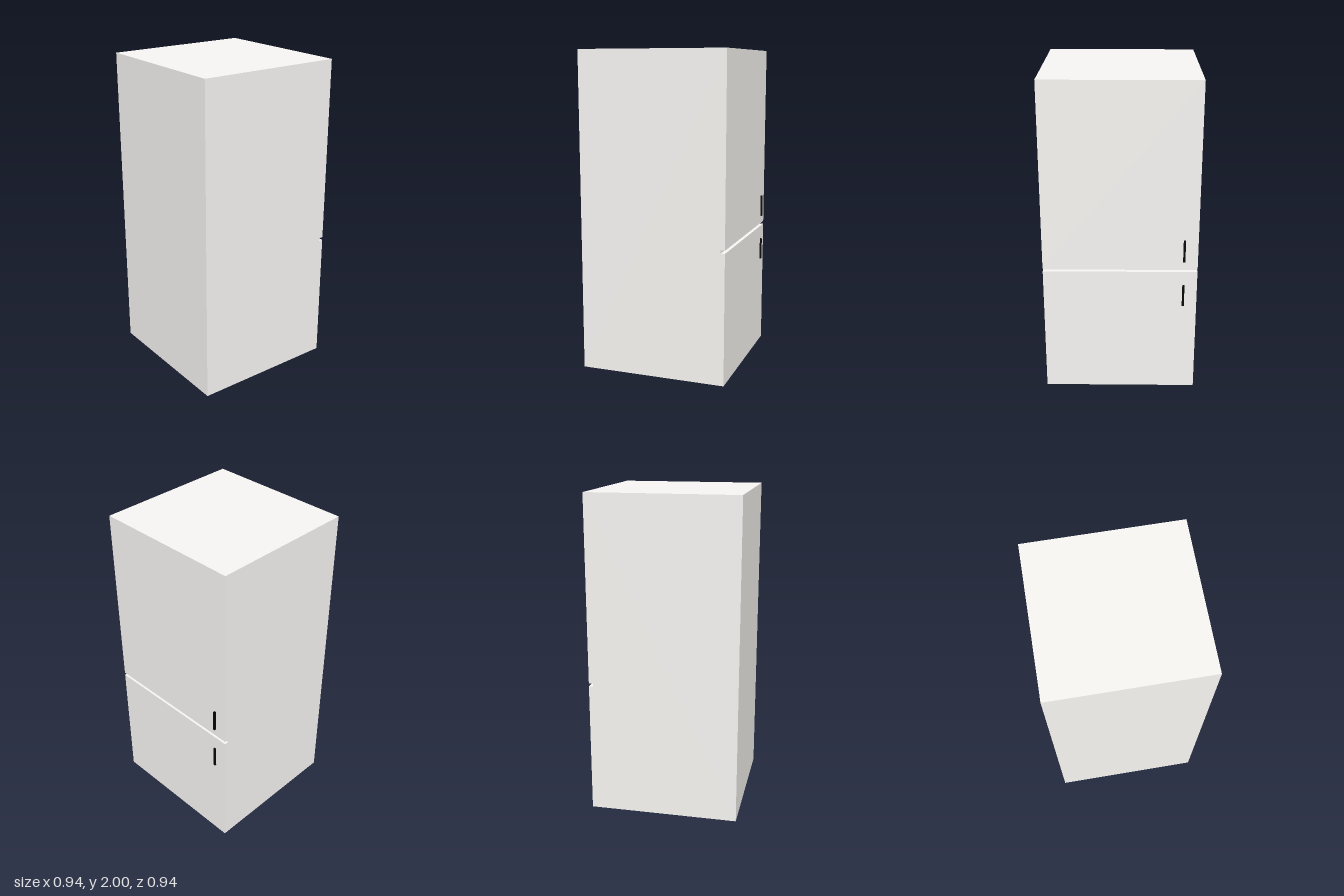
import * as THREE from 'three';

const offWhite = new THREE.MeshStandardMaterial({ color: 0xf7f5f2, flatShading: true });
const black = new THREE.MeshStandardMaterial({ color: 0x050505, flatShading: true });

const LEFT = 0.459;      // door face
const BACK = -0.47;      // wall opposite the doors
const DEPTH = 0.945;     // size along z

// Side profile with the gap between the two doors, extruded along z
function makeCabinet() {
  const profile = new THREE.Shape([
    [BACK, 0], [LEFT, 0], [LEFT, 0.82], [0.432, 0.82],
    [0.432, 0.839], [LEFT, 0.839], [LEFT, 2], [BACK, 2],
  ].map(([x, y]) => new THREE.Vector2(x, y)));
  const geometry = new THREE.ExtrudeGeometry(profile, { depth: DEPTH, bevelEnabled: false });
  geometry.translate(0, 0, -DEPTH / 2);
  const mesh = new THREE.Mesh(geometry, offWhite);
  mesh.name = 'cabinetWithDoors';
  return mesh;
}

// Slim upright bar on a door face
function makeHandle(name, y) {
  const mesh = new THREE.Mesh(new THREE.BoxGeometry(0.011, 0.14, 0.013), black);
  mesh.position.set(LEFT + 0.0055, y, -0.389);
  mesh.name = name;
  return mesh;
}

export function createModel() {
  const group = new THREE.Group();
  group.name = 'refrigerator';
  group.add(
    makeCabinet(),
    makeHandle('upperDoorHandle', 0.96),
    makeHandle('lowerDoorHandle', 0.661),
  );
  return group;
}
